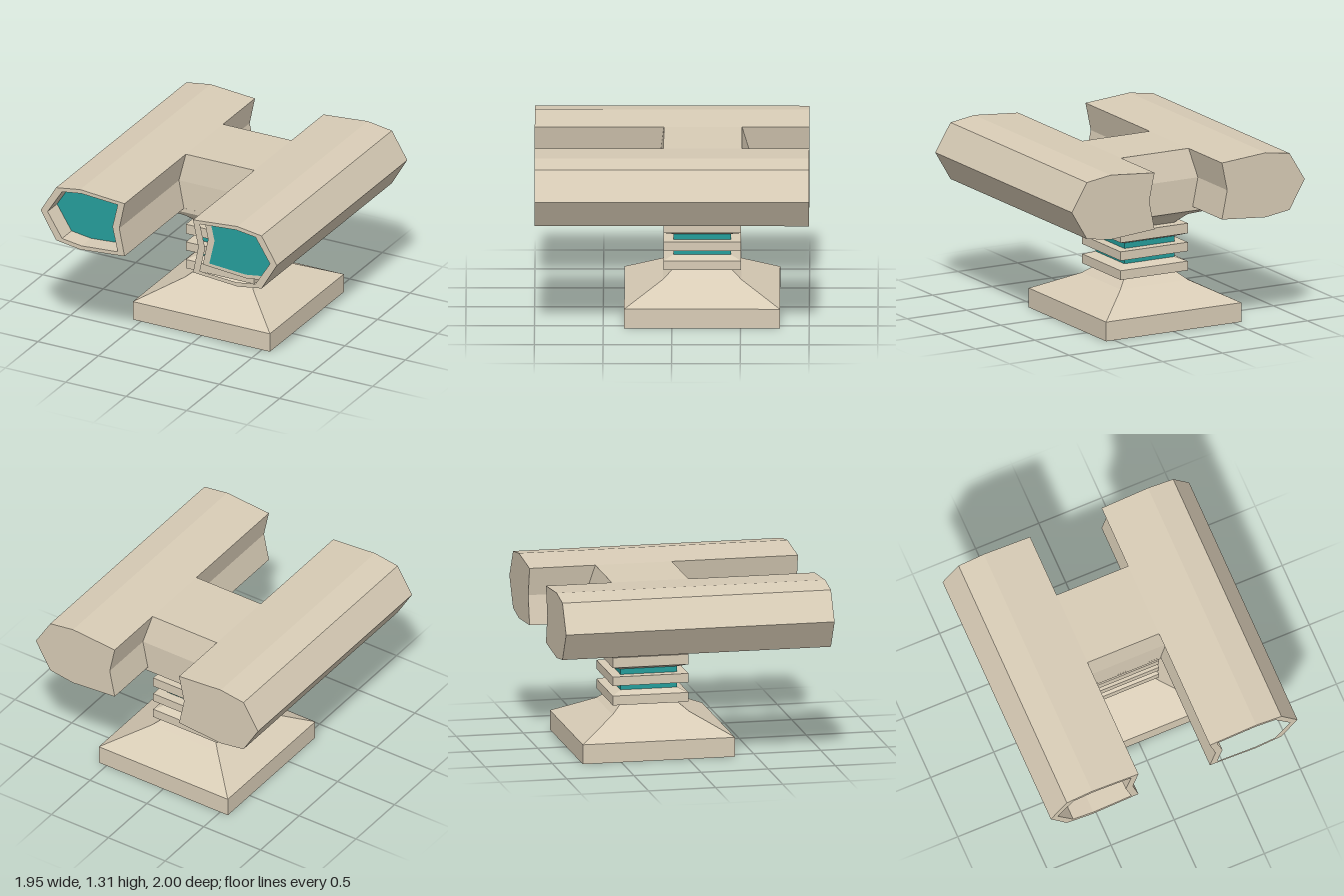
import * as THREE from 'three';
import { ConvexGeometry } from 'three/addons/geometries/ConvexGeometry.js';

const CENTRE_Z = -0.22; // axis of the pedestal

// Right half outlines of the pods, mirrored for the other side
const OUTLINE = [[0.283, 1.28], [0.65, 1.31], [0.85, 1.28], [0.977, 1.07],
  [0.85, 0.855], [0.65, 0.825], [0.283, 0.855], [0.327, 1.07]];
const OPENING = [[0.34, 1.258], [0.64, 1.28], [0.80, 1.258], [0.92, 1.07],
  [0.80, 0.88], [0.64, 0.857], [0.34, 0.878], [0.383, 1.07]];

export function createModel() {
  const model = new THREE.Group();
  model.name = 'twinPodPedestal';

  const beige = new THREE.MeshStandardMaterial({ color: 0xd8ccb6, flatShading: true });
  beige.name = 'beige';
  const teal = new THREE.MeshStandardMaterial({ color: 0x259e9b, flatShading: true });
  teal.name = 'teal';

  const add = (parent, name, geometry, material) => {
    const mesh = new THREE.Mesh(geometry, material);
    mesh.name = name;
    parent.add(mesh);
    return mesh;
  };
  const points = (list, side) => list.map(([x, y]) => new THREE.Vector2(x * side, y));
  const extrude = (shape, depth) =>
    new THREE.ExtrudeGeometry(shape, { depth, bevelEnabled: false });

  // Square block, tapered from half width a at y0 to half width b at y1
  const block = (name, a, b, y0, y1, material = beige) => {
    const g = new THREE.CylinderGeometry(b * Math.SQRT2, a * Math.SQRT2, y1 - y0, 4);
    g.rotateY(Math.PI / 4).translate(0, (y0 + y1) / 2, CENTRE_Z);
    return add(model, name, g, material);
  };

  // Pedestal foot
  block('baseSlab', 0.567, 0.567, 0, 0.145);
  block('baseSlope', 0.567, 0.285, 0.145, 0.29);
  block('baseCollar', 0.285, 0.21, 0.29, 0.352);

  // Neck with its rings
  block('neckCore', 0.21, 0.21, 0.34, 0.72, teal);
  block('lowerRing', 0.282, 0.282, 0.36, 0.43);
  block('lowerRingTaper', 0.282, 0.21, 0.43, 0.457);
  block('middleRing', 0.282, 0.282, 0.505, 0.572);
  block('upperRingTaper', 0.21, 0.282, 0.613, 0.64);
  block('upperRing', 0.282, 0.282, 0.64, 0.715);
  block('neckFlare', 0.21, 0.283, 0.715, 0.786);

  // Bridge joining the pods, with a side profile given as z, y
  const profile = [[0.06, 1.28], [0.085, 1.07], [0.09, 0.845], [-0.57, 0.845],
    [-0.57, 1.07], [-0.51, 1.28]];
  const bridge = extrude(new THREE.Shape(points(profile, 1)), 0.68);
  bridge.translate(0, 0, -0.34).rotateY(-Math.PI / 2);
  add(model, 'bridge', bridge, beige);

  // Shallow wedge under the bridge, running out beneath both pods
  const wedge = [];
  for (const side of [-1, 1]) {
    for (const [x, y, front, back] of [
      [0.283, 0.785, 0.063, -0.503], [0.283, 0.856, 0.09, -0.57], [0.65, 0.824, 0.09, -0.57]]) {
      wedge.push(new THREE.Vector3(x * side, y, front), new THREE.Vector3(x * side, y, back));
    }
  }
  add(model, 'bridgeUnderside', new ConvexGeometry(wedge), beige);

  // Two long pods, each with a recessed panel in the front end
  for (const [name, side] of [['leftPod', 1], ['rightPod', -1]]) {
    const pod = new THREE.Group();
    pod.name = name;
    model.add(pod);

    const body = extrude(new THREE.Shape(points(OUTLINE, side)), 1.85);
    add(pod, 'podBody', body, beige).position.z = -1;

    const rim = new THREE.Shape(points(OUTLINE, side));
    rim.holes.push(new THREE.Path(points(OPENING, side)));
    add(pod, 'podRim', extrude(rim, 0.15), beige).position.z = 0.85;

    const panel = new THREE.ShapeGeometry(new THREE.Shape(points(OPENING, side)));
    add(pod, 'frontPanel', panel, teal).position.z = 0.855;
  }

  return model;
}
